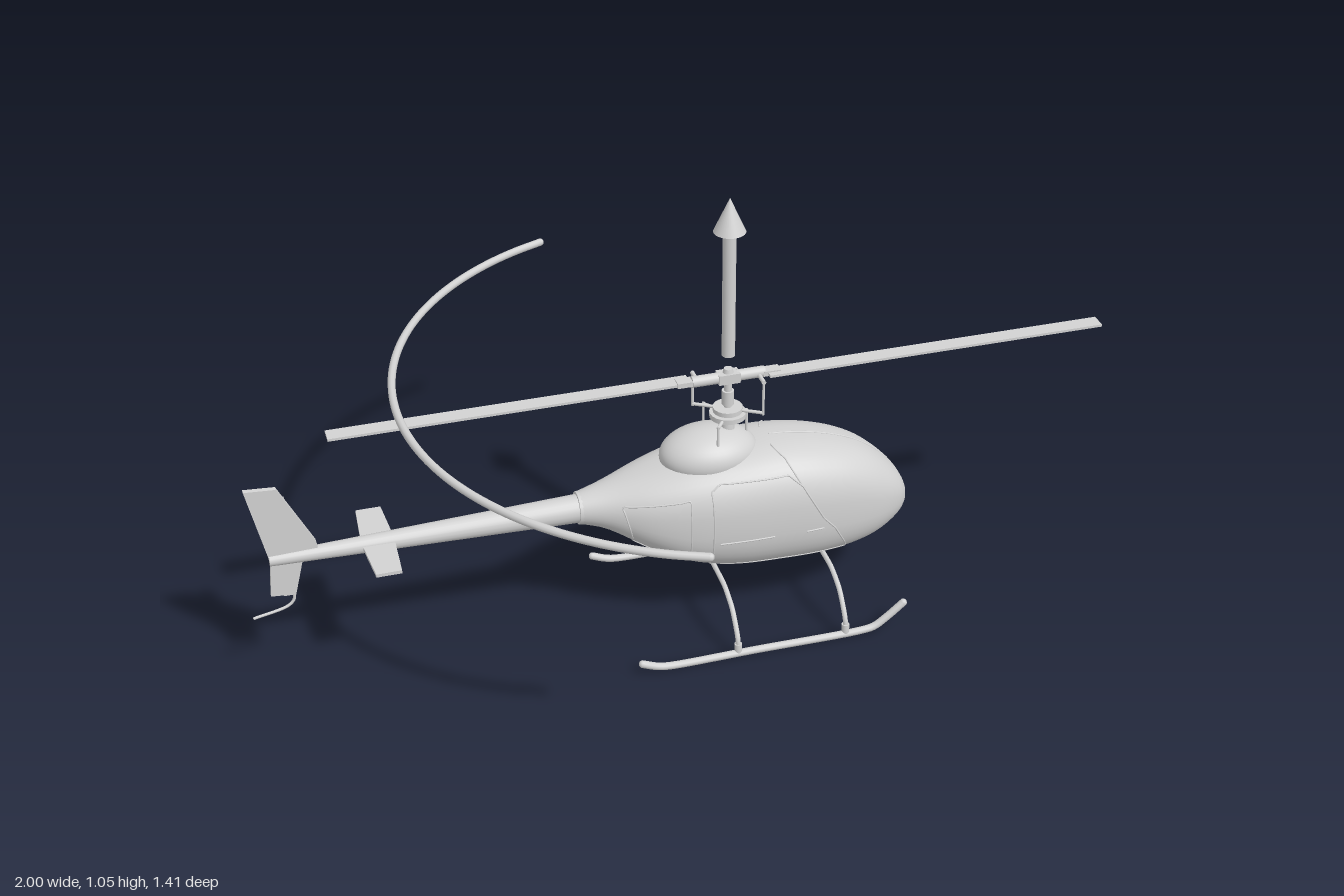
import * as THREE from 'three';

const grey = new THREE.MeshStandardMaterial({ color: 0xd2d2d2 });
grey.name = 'light grey';

const V = (x, y, z) => new THREE.Vector3(x, y, z);
const AXIS = 0.1; // rotor axis x

// Fuselage stations: x, then top y, bottom y, half width
const xs = [-0.25, -0.2, -0.1, 0, 0.1, 0.2, 0.3, 0.4, 0.45, 0.5, 0.52, 0.531, 0.536];
const dims = [
  0.364, 0.288, 0.038, 0.376, 0.272, 0.055, 0.403, 0.212, 0.1, 0.426, 0.163, 0.126,
  0.438, 0.142, 0.138, 0.442, 0.135, 0.14, 0.428, 0.132, 0.135, 0.394, 0.14, 0.117,
  0.362, 0.152, 0.1, 0.313, 0.178, 0.071, 0.284, 0.196, 0.051, 0.259, 0.215, 0.029,
  0.237, 0.237, 0,
];
const hull = new THREE.CubicInterpolant(xs, dims, 3);
function section(x) {
  const [top, bottom, w] = hull.evaluate(x);
  const n = THREE.MathUtils.lerp(2, 2.6, THREE.MathUtils.smoothstep(x, -0.25, 0))
    - 0.3 * THREE.MathUtils.smoothstep(x, 0.35, 0.53);
  return { c: (top + bottom) / 2, h: (top - bottom) / 2, w: Math.max(w, 0), n };
}
function sideZ(x, y) {
  const { c, h, w, n } = section(x);
  const u = Math.min(1, Math.abs((y - c) / h));
  return w * (1 - u ** n) ** (1 / n);
}

function fuselageGeometry() {
  const rows = 60, cols = 48, pos = [], idx = [];
  for (let i = 0; i <= rows; i++) {
    const x = -0.25 + 0.786 * Math.sin((i / rows) * Math.PI / 2);
    const { c, h, w, n } = section(x);
    for (let j = 0; j < cols; j++) {
      const a = (j / cols) * Math.PI * 2, k = Math.cos(a), s = Math.sin(a);
      pos.push(x, c + h * Math.sign(s) * Math.abs(s) ** (2 / n), w * Math.sign(k) * Math.abs(k) ** (2 / n));
    }
  }
  for (let i = 0; i < rows; i++) for (let j = 0; j < cols; j++) {
    const a = i * cols + j, b = i * cols + (j + 1) % cols;
    idx.push(a, a + cols, b + cols, a, b + cols, b);
  }
  const g = new THREE.BufferGeometry();
  g.setAttribute('position', new THREE.Float32BufferAttribute(pos, 3));
  g.setIndex(idx);
  g.computeVertexNormals();
  return g;
}

export function createModel() {
  const model = new THREE.Group();
  const add = (name, geo, parent = model) => {
    const m = new THREE.Mesh(geo, grey);
    m.name = name;
    parent.add(m);
    return m;
  };
  // Capped round rod between two points
  const rod = (name, a, b, r0, r1 = r0, parent = model) => {
    const d = b.clone().sub(a);
    const m = add(name, new THREE.CylinderGeometry(r1, r0, d.length(), 20), parent);
    m.position.copy(a).add(b).multiplyScalar(0.5);
    m.quaternion.setFromUnitVectors(V(0, 1, 0), d.normalize());
  };
  const tube = (name, pts, r, n = 60, closed = false) => {
    const curve = new THREE.CatmullRomCurve3(pts, closed, 'centripetal');
    add(name, new THREE.TubeGeometry(curve, n, r, 10, closed));
    if (!closed) for (const p of [pts[0], pts[pts.length - 1]]) {
      add(name + 'End', new THREE.SphereGeometry(r, 10, 8)).position.copy(p);
    }
  };
  // Thin plate from an outline in the xy plane
  const plate = (name, outline, t) => {
    const shape = new THREE.Shape(outline.map(([x, y]) => new THREE.Vector2(x, y)));
    const g = new THREE.ExtrudeGeometry(shape, { depth: t, bevelEnabled: false });
    return add(name, g.translate(0, 0, -t / 2));
  };

  add('fuselage', fuselageGeometry());

  // Panel seams following the hull
  const seam = (name, pts, closed = false) => {
    for (const s of [1, -1]) {
      const path = [];
      const count = closed ? pts.length : pts.length - 1;
      for (let i = 0; i < count; i++) {
        const [x0, y0] = pts[i], [x1, y1] = pts[(i + 1) % pts.length];
        for (let k = 0; k < 8; k++) {
          const x = x0 + (x1 - x0) * k / 8, y = y0 + (y1 - y0) * k / 8;
          path.push(V(x, y, s * sideZ(x, y)));
        }
      }
      if (!closed) {
        const [x, y] = pts[pts.length - 1];
        path.push(V(x, y, s * sideZ(x, y)));
      }
      tube(name, path, 0.002, path.length * 2, closed);
    }
  };
  seam('doorSeam', [[0.03, 0.385], [0.05, 0.397], [0.21, 0.397], [0.24, 0.37], [0.29, 0.28], [0.32, 0.245],
    [0.35, 0.19], [0.36, 0.165], [0.04, 0.165], [0.03, 0.18]], true);
  seam('windscreenSeam', [[0.19, 0.44], [0.21, 0.425], [0.24, 0.37]]);
  seam('rearPanelSeam', [[-0.165, 0.35], [-0.02, 0.367], [-0.02, 0.2], [-0.06, 0.205], [-0.14, 0.25]], true);
  seam('doorCreaseSeam', [[0.045, 0.252], [0.17, 0.254]]);
  seam('doorHandleSeam', [[0.25, 0.252], [0.29, 0.252]]);
  tube('noseSeam', [0.2, 0.25, 0.3, 0.35, 0.4, 0.45, 0.49].map(x => {
    const { c, h } = section(x);
    return V(x, c + h, 0);
  }), 0.0025);

  // Engine cowling
  const cowl = add('engineCowling', new THREE.SphereGeometry(1, 40, 24));
  cowl.scale.set(0.115, 0.063, 0.085);
  cowl.position.set(0.055, 0.422, 0);

  // Tail boom, fins, stabiliser and skid
  rod('tailBoom', V(-0.22, 0.325, 0), V(-0.95, 0.323, 0), 0.034, 0.014);
  rod('boomCollar', V(-0.2, 0.325, 0), V(-0.256, 0.326, 0), 0.044, 0.038);
  plate('upperFin', [[-0.95, 0.325], [-0.84, 0.325], [-0.845, 0.355], [-0.92, 0.505], [-0.99, 0.51]], 0.012);
  plate('lowerFin', [[-0.955, 0.23], [-0.9, 0.225], [-0.875, 0.325], [-0.948, 0.325]], 0.012);
  for (const s of [1, -1]) {
    const half = plate('stabiliser', [[-0.747, 0], [-0.673, 0], [-0.68, 0.13], [-0.737, 0.13]], 0.008);
    half.rotation.x = s * Math.PI / 2;
    half.position.y = 0.325;
  }
  tube('tailSkid', [V(-0.905, 0.235, 0), V(-0.905, 0.21, 0), V(-0.92, 0.194, 0), V(-0.996, 0.175, 0)], 0.0035);

  // Tail rotor
  const tailRotor = new THREE.Group();
  tailRotor.name = 'tailRotor';
  tailRotor.position.set(-0.912, 0.322, 0);
  model.add(tailRotor);
  rod('tailRotorShaft', V(0, 0, 0), V(0, 0, -0.062), 0.006, 0.006, tailRotor);
  rod('tailRotorHub', V(0, 0, -0.034), V(0, 0, -0.052), 0.013, 0.013, tailRotor);
  for (const s of [1, -1]) {
    rod('tailBladeGrip', V(0, 0, -0.043), V(0, s * 0.04, -0.043), 0.006, 0.006, tailRotor);
    add('tailBlade', new THREE.BoxGeometry(0.023, 0.1, 0.005), tailRotor).position.set(0, s * 0.08, -0.043);
  }

  // Mast and swashplate
  rod('mast', V(AXIS, 0.46, 0), V(AXIS, 0.628, 0), 0.009);
  rod('mastBase', V(AXIS, 0.46, 0), V(AXIS, 0.5, 0), 0.017, 0.014);
  rod('mastSleeve', V(AXIS, 0.54, 0), V(AXIS, 0.575, 0), 0.014);
  rod('lowerSwashplate', V(AXIS, 0.508, 0), V(AXIS, 0.52, 0), 0.042);
  rod('upperSwashplate', V(AXIS, 0.522, 0), V(AXIS, 0.533, 0), 0.034);
  for (const s of [1, -1]) {
    rod('controlArm', V(AXIS, 0.527, 0), V(AXIS + s * 0.07, 0.527, s * 0.042), 0.004);
    rod('pitchLink', V(AXIS + s * 0.07, 0.522, s * 0.042), V(AXIS + s * 0.07, 0.608, s * 0.042), 0.003);
    rod('pitchHorn', V(AXIS + s * 0.07, 0.607, 0), V(AXIS + s * 0.07, 0.607, s * 0.045), 0.005);
    rod('servoArm', V(AXIS, 0.514, 0), V(AXIS - 0.04, 0.514, s * 0.056), 0.004);
    rod('servoLink', V(AXIS - 0.04, 0.43, s * 0.056), V(AXIS - 0.04, 0.518, s * 0.056), 0.003);
  }
  rod('frontServoLink', V(AXIS + 0.045, 0.43, 0), V(AXIS + 0.045, 0.518, 0), 0.003);

  // Main rotor
  add('rotorHub', new THREE.BoxGeometry(0.05, 0.024, 0.03)).position.set(AXIS, 0.61, 0);
  rod('hubCap', V(AXIS, 0.61, 0), V(AXIS, 0.632, 0), 0.015, 0.01);
  for (const s of [1, -1]) {
    rod('bladeGrip', V(AXIS + s * 0.02, 0.61, 0), V(AXIS + s * 0.085, 0.61, 0), 0.013);
    add('bladeRoot', new THREE.BoxGeometry(0.04, 0.012, 0.026)).position.set(AXIS + s * 0.1, 0.61, s * 0.002);
    add('mainBlade', new THREE.BoxGeometry(0.81, 0.006, 0.038)).position.set(AXIS + s * 0.495, 0.61, s * 0.01);
  }

  // Upward arrow above the rotor
  rod('arrowShaft', V(AXIS, 0.666, 0), V(AXIS, 0.98, 0), 0.015);
  const head = add('arrowHead', new THREE.ConeGeometry(0.036, 0.08, 32));
  head.position.set(AXIS, 1.013, 0);

  // Curved rotation arc
  const arc = [];
  for (let i = 0; i <= 24; i++) {
    const a = Math.PI + (i / 12 - 1) * 1.215;
    arc.push(V(AXIS + 0.745 * Math.cos(a), 0.64, 0.745 * Math.sin(a)));
  }
  tube('rotationArc', arc, 0.009, 100);

  // Landing gear
  for (const s of [1, -1]) {
    const z = s * 0.222;
    tube('skid', [V(-0.167, 0.027, z), V(-0.135, 0.014, z), V(-0.11, 0.009, z), V(0.1, 0.009, z), V(0.36, 0.009, z),
      V(0.39, 0.014, z), V(0.42, 0.034, z), V(0.46, 0.067, z)], 0.009, 80);
  }
  for (const x of [0.06, 0.32]) {
    const half = [[0.22, 0.01], [0.219, 0.04], [0.211, 0.056], [0.178, 0.095], [0.165, 0.104], [0.12, 0.122], [0.1, 0.125]];
    tube('skidStrut', [...half.map(([z, y]) => V(x, y, z)), ...half.reverse().map(([z, y]) => V(x, y, -z))], 0.006, 80);
    for (const s of [1, -1]) {
      rod('strutClamp', V(x, 0.012, s * 0.221), V(x, 0.034, s * 0.22), 0.009);
    }
  }
  return model;
}
